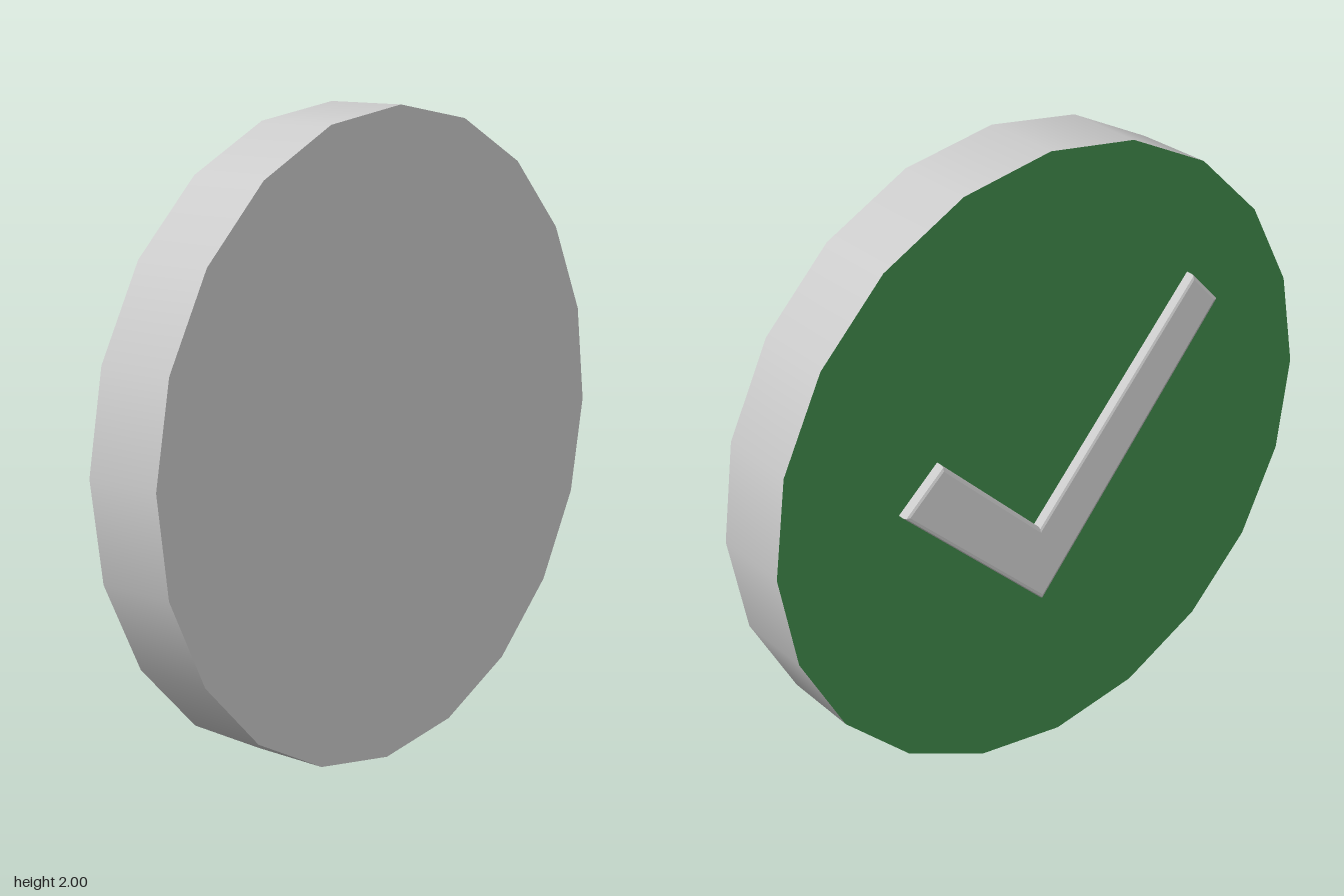
import * as THREE from 'three';

const SIDES = 20, RADIUS = 1, TWIST = -0.02;
const BACK = -0.118, FRONT = 0.142;

export function createModel() {
  const group = new THREE.Group();
  group.name = 'checkBadge';
  const grey = new THREE.MeshStandardMaterial({ color: 0xcccccc });
  const green = new THREE.MeshStandardMaterial({ color: 0x3d8447 });

  const add = (name, geometry, material) => {
    const mesh = new THREE.Mesh(geometry, material);
    mesh.name = name;
    group.add(mesh);
  };

  // The front plane leans very slightly
  const lean = (geometry) => {
    const p = geometry.attributes.position;
    for (let i = 0; i < p.count; i++) {
      if (p.getZ(i) > 0) p.setZ(i, p.getZ(i) + 0.006 * p.getY(i) + 0.002 * p.getX(i));
    }
    return geometry.translate(0, 1, 0);
  };

  // Rim: open, smooth-shaded 20-sided wall
  const rim = new THREE.CylinderGeometry(RADIUS, RADIUS, FRONT - BACK, SIDES, 1, true, TWIST)
    .rotateX(Math.PI / 2)
    .translate(0, 0, (FRONT + BACK) / 2);
  add('rim', lean(rim), grey);

  // Plain front face
  const front = new THREE.CircleGeometry(RADIUS, SIDES, TWIST).translate(0, 0, FRONT);
  add('frontFace', lean(front), grey);

  // Green back face
  const back = new THREE.CircleGeometry(RADIUS, SIDES, -TWIST)
    .rotateY(Math.PI)
    .translate(0, 1, BACK);
  add('greenFace', back, green);

  // Raised check mark with softened edges, sunk slightly into the disc
  const outline = [
    [0.07, 0.55], [0.58, 1.03], [0.44, 1.155],
    [0.08, 0.81], [-0.52, 1.475], [-0.625, 1.365],
  ].map(([x, y]) => new THREE.Vector2(x, y));
  const check = new THREE.ExtrudeGeometry(new THREE.Shape(outline), {
    depth: 0.04,
    bevelEnabled: true,
    bevelSize: 0.012,
    bevelOffset: -0.012,
    bevelThickness: 0.01,
    bevelSegments: 2,
  }).translate(0, 0, -0.14);
  add('checkMark', check, grey);

  return group;
}
